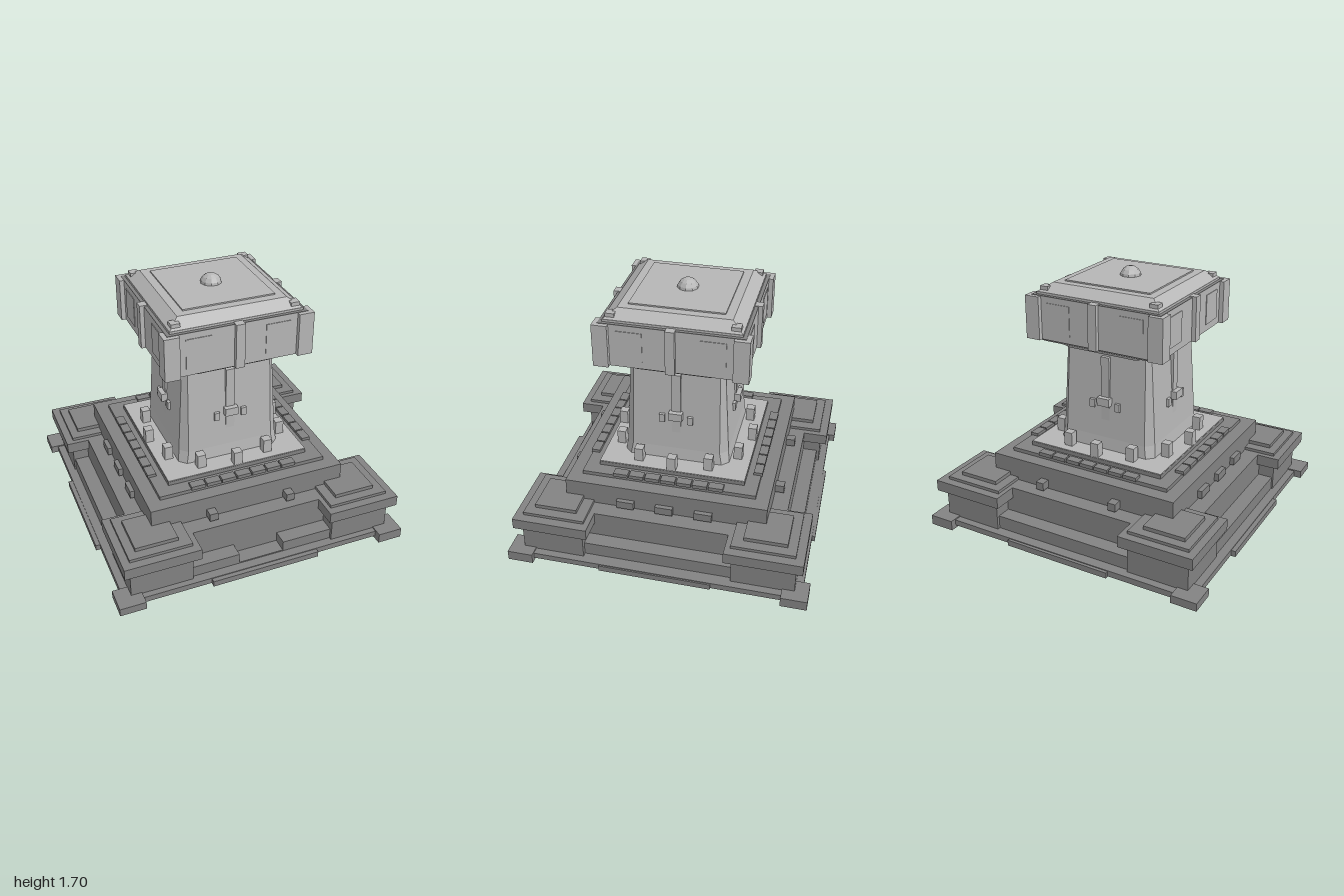
import * as THREE from 'three';

export function createModel() {
  const root = new THREE.Group();
  root.name = 'watchtower';
  const make = (name, color) => Object.assign(new THREE.MeshStandardMaterial({ color, flatShading: true }), { name });
  const dark = make('dark stone', 0x828282);
  const light = make('light stone', 0xb6b6b6);

  const add = (name, geo, mat, parent = root) => {
    const m = new THREE.Mesh(geo, mat);
    m.name = name;
    parent.add(m);
    return m;
  };
  // box from its limits
  const box = (name, mat, x0, x1, y0, y1, z0, z1, parent = root) => {
    const g = new THREE.BoxGeometry(x1 - x0, y1 - y0, z1 - z0);
    g.translate((x0 + x1) / 2, (y0 + y1) / 2, (z0 + z1) / 2);
    return add(name, g, mat, parent);
  };
  const slab = (name, mat, h, y0, y1, parent = root) => box(name, mat, -h, h, y0, y1, -h, h, parent);
  // square frustum from half widths
  const frustum = (name, mat, bottom, top, y0, y1) => {
    const g = new THREE.CylinderGeometry(top * Math.SQRT2, bottom * Math.SQRT2, y1 - y0, 4);
    g.rotateY(Math.PI / 4).translate(0, (y0 + y1) / 2, 0);
    return add(name, g, mat);
  };
  // loft through chamfered squares given as [half width, y, chamfer]
  const loft = (name, mat, sections) => {
    const rings = sections.map(([h, y, c]) => {
      const k = h - c;
      return [[h, -k], [h, k], [k, h], [-k, h], [-h, k], [-h, -k], [-k, -h], [k, -h]].map(([x, z]) => [x, y, z]);
    });
    const pos = [];
    const tri = (...pts) => pts.forEach((p) => pos.push(...p));
    const last = rings.length - 1;
    for (let i = 0; i < 8; i++) {
      const j = (i + 1) % 8;
      for (let r = 0; r < last; r++) {
        const a = rings[r], b = rings[r + 1];
        tri(a[i], b[i], b[j]);
        tri(a[i], b[j], a[j]);
      }
      tri([0, sections[0][1], 0], rings[0][i], rings[0][j]);
      tri([0, sections[last][1], 0], rings[last][j], rings[last][i]);
    }
    const g = new THREE.BufferGeometry();
    g.setAttribute('position', new THREE.Float32BufferAttribute(pos, 3));
    g.computeVertexNormals();
    return add(name, g, mat);
  };
  // one group per side; side 0 is the front, then left, back, right
  const sides = (name, build) => {
    for (let s = 0; s < 4; s++) {
      const g = new THREE.Group();
      g.name = name;
      g.rotation.y = (s * Math.PI) / 2;
      build(g, s);
      root.add(g);
    }
  };

  // foundation
  box('foundationSlab', dark, -0.94, 0.96, 0.02, 0.06, -0.95, 0.94);
  sides('footing', (g) => box('middleFooting', dark, -0.37, 0.37, 0.015, 0.055, 0.8, 0.97, g));
  for (const sx of [-1, 1]) {
    for (const sz of [-1, 1]) {
      const range = (a, b, s) => (s > 0 ? [a, b] : [-b, -a]);
      const corner = (name, a, b, y0, y1, shift = 0) => {
        const [x0, x1] = range(a, b, sx), [z0, z1] = range(a, b, sz);
        box(name, dark, x0 + shift, x1 + shift, y0, y1, z0, z1);
      };
      corner('cornerFoot', 0.82, 0.99, sx > 0 ? 0 : 0.015, 0.068);
      // corner bastion with stepped cap
      corner('bastion', 0.49, 0.9, 0.05, 0.25, 0.01);
      corner('bastionCap', 0.445, 0.945, 0.25, 0.325, 0.01);
      corner('bastionStep', 0.48, 0.89, 0.325, 0.345, 0.005);
      corner('bastionTop', 0.55, 0.83, 0.345, 0.37);
    }
  }

  // terraces
  slab('lowerTerrace', dark, 0.78, 0.05, 0.325);
  slab('upperTerrace', dark, 0.67, 0.32, 0.48);
  slab('tileTerrace', dark, 0.58, 0.48, 0.505);
  slab('towerPlinth', dark, 0.49, 0.505, 0.532);
  slab('plinthPaving', light, 0.488, 0.532, 0.537);

  sides('terraceDetails', (g, s) => {
    // low parapet, with a central gap at the front
    if (s === 0) {
      box('parapet', dark, -0.5, -0.155, 0.05, 0.135, 0.7, 0.88, g);
      box('parapet', dark, 0.155, 0.5, 0.05, 0.135, 0.7, 0.88, g);
      box('step', dark, -0.16, 0.16, 0.05, 0.068, 0.7, 0.88, g);
    } else box('parapet', dark, -0.5, 0.5, 0.05, 0.15, 0.7, 0.88, g);
    // blocks on the terrace wall
    const across = s % 2 === 1;
    const w = across ? 0.058 : 0.028;
    for (const x of across ? [-0.26, 0, 0.26] : [-0.27, 0.27])
      box('wallBlock', dark, x - w, x + w, 0.335, 0.388, 0.66, across ? 0.7 : 0.73, g);
    // row of tiles
    for (let i = -3; i <= 3; i++)
      box('tile', dark, i * 0.106 - 0.048, i * 0.106 + 0.048, 0.5, 0.525, 0.53, 0.588, g);
    // posts around the tower
    for (const x of [-0.235, 0, 0.235]) {
      const z = x === 0 ? 0.43 : 0.375;
      box('post', light, x - 0.029, x + 0.029, 0.53, 0.632, z, z + 0.057, g);
    }
  });

  // tapering shaft with chamfered corners
  loft('shaft', light, [[0.355, 0.535, 0.045], [0.345, 0.62, 0.05], [0.31, 1.23, 0.028]]);
  sides('shaftDetails', (g) => {
    box('shaftRib', light, -0.03, 0.03, 0.537, 1.18, 0.28, 0.338, g);
    box('ribBlock', light, -0.045, 0.045, 0.85, 0.905, 0.3, 0.37, g);
    for (const x of [-0.094, 0.094])
      box('smallBlock', light, x - 0.018, x + 0.018, 0.82, 0.876, 0.3, 0.35, g);
  });

  // collar and flared underside of the head
  loft('collar', light, [[0.37, 1.215, 0.13], [0.395, 1.245, 0.1]]);
  frustum('headUnderside', light, 0.4, 0.46, 1.24, 1.275);

  // head
  slab('headBody', light, 0.46, 1.275, 1.56);
  slab('wallTop', dark, 0.46, 1.56, 1.565);
  sides('headDetails', (g) => {
    box('pilaster', light, -0.03, 0.03, 1.272, 1.57, 0.43, 0.488, g);
    box('cornerPillar', light, 0.39, 0.49, 1.275, 1.562, 0.39, 0.49, g);
    for (const x of [-0.262, 0.262])
      box('wallPanel', light, x - 0.082, x + 0.082, 1.322, 1.522, 0.456, 0.464, g);
    box('roofStud', light, 0.362, 0.42, 1.57, 1.615, 0.362, 0.42, g);
  });

  // roof
  slab('roofRim', light, 0.437, 1.56, 1.58);
  frustum('roofSlope', light, 0.435, 0.36, 1.58, 1.632);
  slab('roofPlate', light, 0.305, 1.63, 1.641);
  const dome = new THREE.SphereGeometry(0.072, 10, 4, 0, Math.PI * 2, 0, Math.PI / 2);
  dome.translate(0, 1.63, 0);
  add('roofDome', dome, light);

  return root;
}
